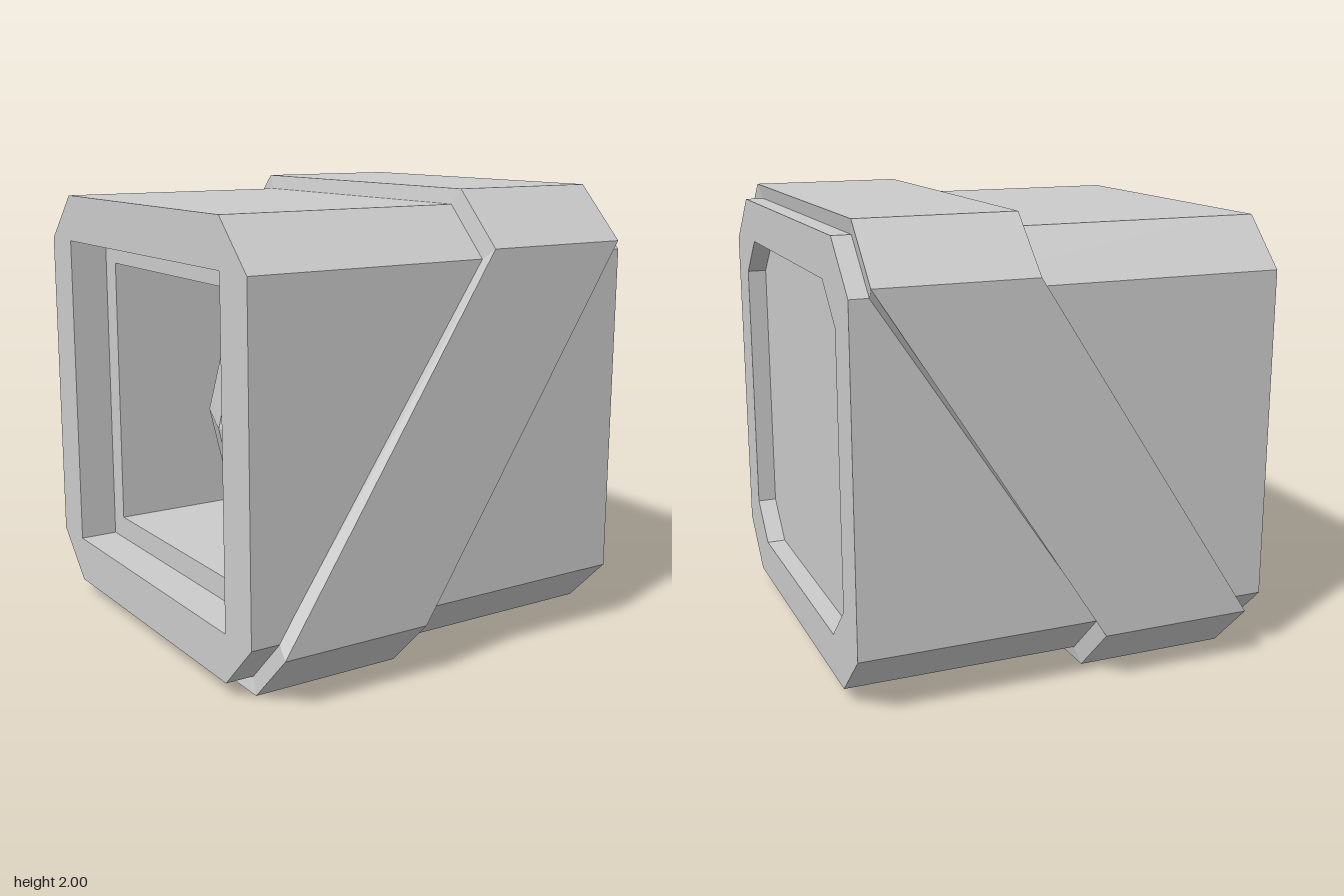
import * as THREE from 'three';

const material = new THREE.MeshStandardMaterial({ color: 0xcccccc, flatShading: true });

// Corners of a square of half-size h whose corners are cut back to c
function octagon(h, c) {
  return [[h, -c], [h, c], [c, h], [-c, h], [-h, c], [-h, -c], [-c, -h], [c, -h]];
}

function square(h) {
  return [[h, -h], [h, h], [-h, h], [-h, -h]];
}

const toPoints = (corners) => corners.map(([u, v]) => new THREE.Vector2(u, v));

// Slice of the shell running along x, with an optional hole through it
function slice(name, x0, x1, hole) {
  const shape = new THREE.Shape(toPoints(octagon(0.935, 0.725)));
  if (hole) shape.holes.push(new THREE.Path(toPoints(hole)));
  const geometry = new THREE.ExtrudeGeometry(shape, { depth: x1 - x0, bevelEnabled: false });
  geometry.rotateY(Math.PI / 2);
  geometry.translate(x0, 1, 0);
  const mesh = new THREE.Mesh(geometry, material);
  mesh.name = name;
  return mesh;
}

// Ring around the shell, leaning towards +x at the top
function slantedBand() {
  const loop = (h, c, lean, side) => octagon(h, c).map(([z, y]) =>
    [0.02 + Math.sign(y) * lean + side * 0.342, y + 1, z]);
  const loops = [
    loop(1, 0.77, 0.5, -1), loop(1, 0.77, 0.5, 1),
    loop(0.93, 0.72, 0.485, 1), loop(0.93, 0.72, 0.485, -1),
  ];
  const positions = [];
  for (let k = 0; k < 4; k++) {
    const p = loops[k], q = loops[(k + 1) % 4];
    for (let i = 0; i < 8; i++) {
      const j = (i + 1) % 8;
      positions.push(...p[i], ...q[i], ...q[j], ...p[i], ...q[j], ...p[j]);
    }
  }
  const geometry = new THREE.BufferGeometry();
  geometry.setAttribute('position', new THREE.Float32BufferAttribute(positions, 3));
  geometry.computeVertexNormals();
  const mesh = new THREE.Mesh(geometry, material);
  mesh.name = 'slantedBand';
  return mesh;
}

export function createModel() {
  const model = new THREE.Group();
  model.name = 'bandedBox';

  // Shell: open stepped cavity on -x, shallow recessed panel on +x
  const shell = new THREE.Group();
  shell.name = 'shell';
  shell.add(
    slice('openingRim', -0.935, -0.76, square(0.725)),
    slice('cavityWall', -0.76, 0.75, square(0.62)),
    slice('endPanel', 0.75, 0.845),
    slice('panelRim', 0.845, 0.93, octagon(0.75, 0.585)),
  );

  // Faceted core inside the cavity, slightly taller than wide
  const core = new THREE.Mesh(new THREE.SphereGeometry(0.56, 8, 6), material);
  core.name = 'core';
  core.scale.y = 1.15;
  core.position.y = 0.92;

  model.add(shell, slantedBand(), core);
  return model;
}
